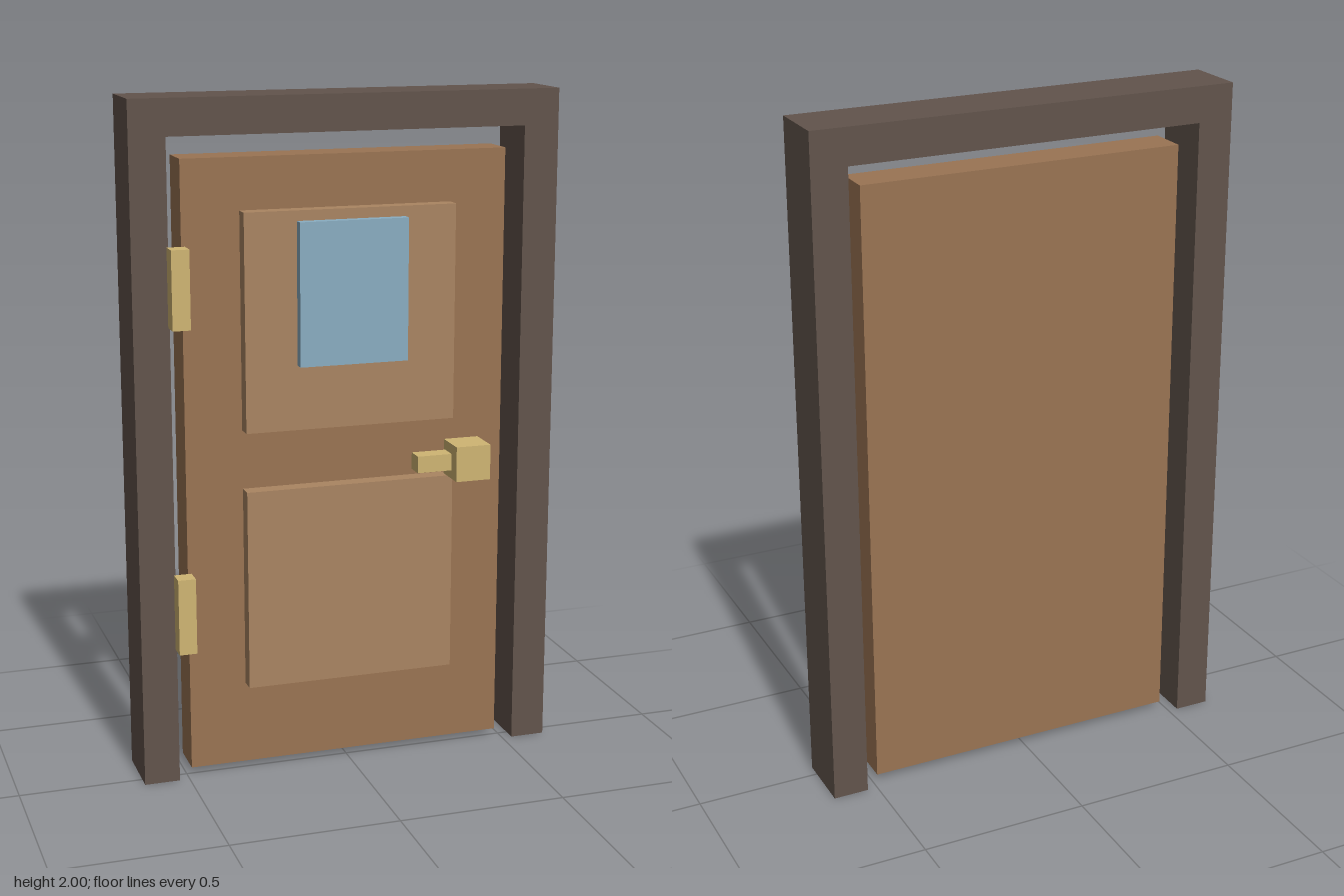
import * as THREE from 'three';

const material = (color) => new THREE.MeshStandardMaterial({ color });

export function createModel() {
  const model = new THREE.Group();
  model.name = 'door';
  const frameMat = material(0x62544c);
  const woodMat = material(0x9a7453);
  const panelMat = material(0xaa8562);
  const glassMat = material(0x8aadc1);
  const brassMat = material(0xcfb573);

  // Box given by its extents along each axis
  function box(name, mat, [x0, x1], [y0, y1], [z0, z1]) {
    const mesh = new THREE.Mesh(new THREE.BoxGeometry(x1 - x0, y1 - y0, z1 - z0), mat);
    mesh.position.set((x0 + x1) / 2, (y0 + y1) / 2, (z0 + z1) / 2);
    mesh.name = name;
    model.add(mesh);
  }

  // Frame: two posts and a lintel as one outline, open at the floor
  const outline = new THREE.Shape([
    [-0.635, 0], [-0.53, 0], [-0.53, 1.895], [0.53, 1.895],
    [0.53, 0], [0.635, 0], [0.635, 2], [-0.635, 2],
  ].map(([x, y]) => new THREE.Vector2(x, y)));
  const frame = new THREE.Mesh(
    new THREE.ExtrudeGeometry(outline, { depth: 0.187, bevelEnabled: false }), frameMat);
  frame.position.z = -0.147;
  frame.name = 'frame';
  model.add(frame);

  // Door leaf with two raised panels and a window
  box('doorLeaf', woodMat, [-0.485, 0.485], [0.02, 1.83], [-0.112, 0.005]);
  box('upperPanel', panelMat, [-0.316, 0.316], [1.045, 1.68], [0.005, 0.052]);
  box('lowerPanel', panelMat, [-0.316, 0.316], [0.27, 0.87], [0.005, 0.052]);
  box('window', glassMat, [-0.162, 0.162], [1.235, 1.65], [0.05, 0.082]);

  // Handle: block knob with a lever pointing inwards
  box('knob', brassMat, [0.292, 0.398], [0.875, 0.98], [0.041, 0.147]);
  box('lever', brassMat, [0.187, 0.32], [0.9, 0.95], [0.052, 0.105]);

  // Hinges
  for (const [name, y] of [['upperHinge', 1.48], ['lowerHinge', 0.53]])
    box(name, brassMat, [-0.537, -0.485], [y - 0.113, y + 0.113], [0.052, 0.105]);

  return model;
}
